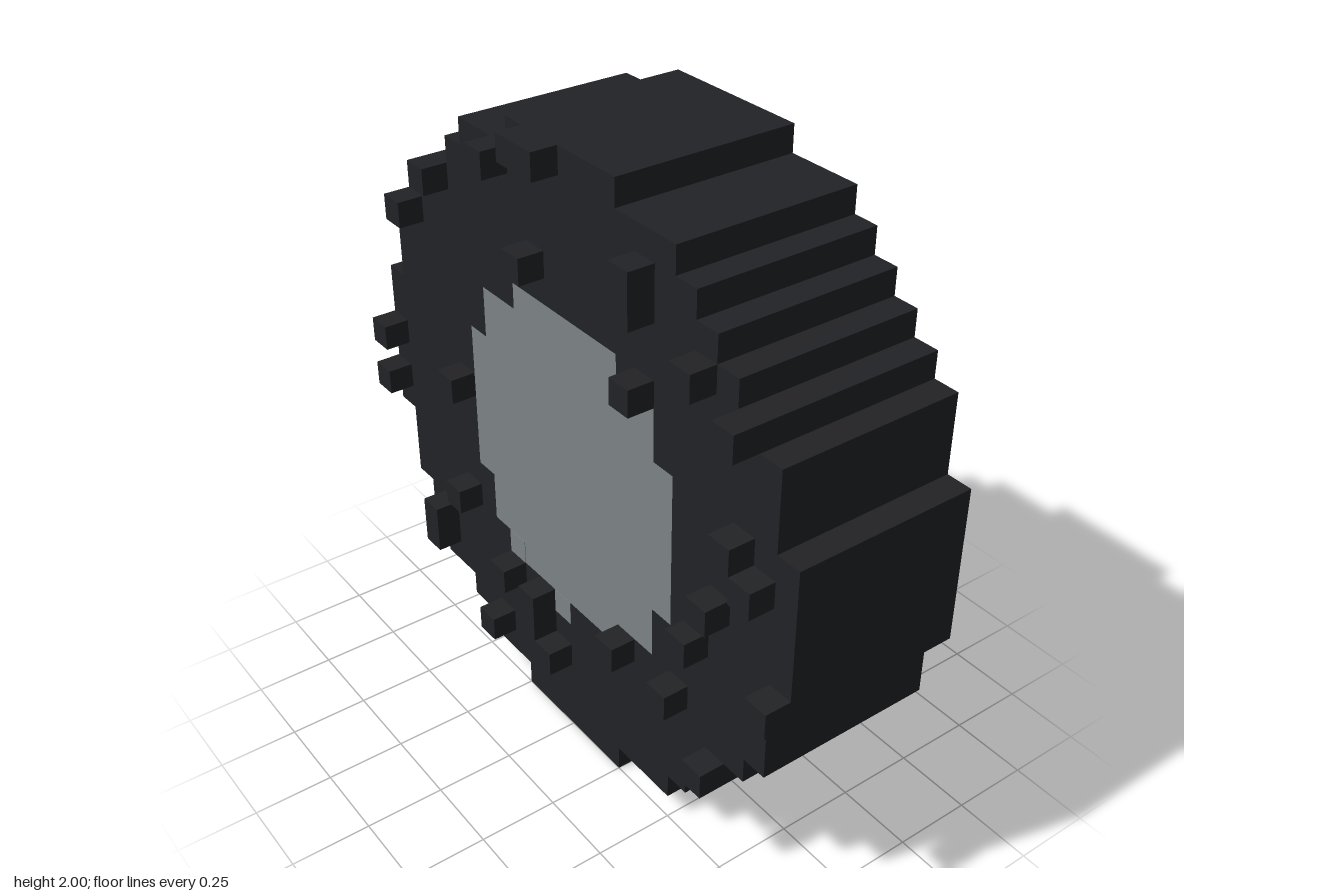
import * as THREE from 'three';

const U = 1 / 12; // one voxel

// Half widths per row, from the bottom up
const TYRE_LEFT = [3, 6, 7, 9, 9, 10, 11, 11, 11, 12, 12, 12, 12, 12, 12, 11, 11, 11, 10, 9, 8, 7, 6, 3];
const TYRE_RIGHT = TYRE_LEFT.map((w, i) => (i === 3 ? 8 : w));
const HUB = [3, 5, 5, 6, 6, 6, 6, 6, 6, 5, 5, 3];

// Stepped outline: up the right side, down the left
function steppedPoints(left, right, startRow) {
  const up = [], down = [];
  const trace = (rows, sign, out) => rows.forEach((w, i) => {
    if (i === 0 || rows[i - 1] !== w) {
      if (i > 0) out.push(new THREE.Vector2(sign * rows[i - 1] * U, (startRow + i) * U));
      out.push(new THREE.Vector2(sign * w * U, (startRow + i) * U));
    }
    if (i === rows.length - 1) out.push(new THREE.Vector2(sign * w * U, (startRow + i + 1) * U));
  });
  trace(right, 1, up);
  trace(left, -1, down);
  return up.concat(down.reverse());
}

// Extrude between two voxel layers in z
function slab(shape, z0, z1) {
  const g = new THREE.ExtrudeGeometry(shape, { depth: (z1 - z0) * U, bevelEnabled: false });
  return g.translate(0, 0, z0 * U);
}

export function createModel() {
  const model = new THREE.Group();
  model.name = 'wheel';
  const rubber = new THREE.MeshStandardMaterial({ color: 0x222326 });
  const metal = new THREE.MeshStandardMaterial({ color: 0x7d8486 });

  const add = (parent, name, geometry, material) => {
    const mesh = new THREE.Mesh(geometry, material);
    mesh.name = name;
    parent.add(mesh);
  };
  // Box given by its lowest column and row, size and z layers
  const voxelBox = (col, row, w, h, z0, z1) =>
    new THREE.BoxGeometry(w * U, h * U, (z1 - z0) * U)
      .translate((col + w / 2) * U, (row + h / 2) * U, ((z0 + z1) / 2) * U);

  // Tyre ring
  const tyre = new THREE.Shape(steppedPoints(TYRE_LEFT, TYRE_RIGHT, 0));
  tyre.holes.push(new THREE.Path(steppedPoints(HUB, HUB, 6)));
  add(model, 'tyre', slab(tyre, -4, 3), rubber);

  // Hub disc, flush at the front and set in one voxel at the back
  add(model, 'hub', slab(new THREE.Shape(steppedPoints(HUB, HUB, 6)), -3, 3), metal);

  // Stray hub voxels showing through the tyre's front face
  const chips = new THREE.Group();
  chips.name = 'hubChips';
  for (const [col, row] of [[-1, 5], [-4, 6]]) add(chips, 'hubChip', voxelBox(col, row, 1, 1, 2, 3.02), metal);
  model.add(chips);

  // Mud lumps on the front face: column, row, width, height
  const lumps = new THREE.Group();
  lumps.name = 'frontLumps';
  const spots = [
    [-2, 23, 2], [-4, 22], [4, 20, 1, 2], [-8, 20], [-2, 19], [7, 19], [-10, 18],
    [9, 18], [4, 17], [9, 14], [10, 13], [-12, 12], [-7, 12], [8, 11], [-12, 10],
    [7, 9], [11, 9], [-7, 7], [3, 6], [6, 6], [-4, 5], [-9, 4, 1, 2], [-2, 4, 1, 2],
    [8, 4], [-1, 3], [-5, 2],
  ];
  for (const [col, row, w = 1, h = 1] of spots) add(lumps, 'lump', voxelBox(col, row, w, h, 3, 4), rubber);
  model.add(lumps);

  return model;
}
